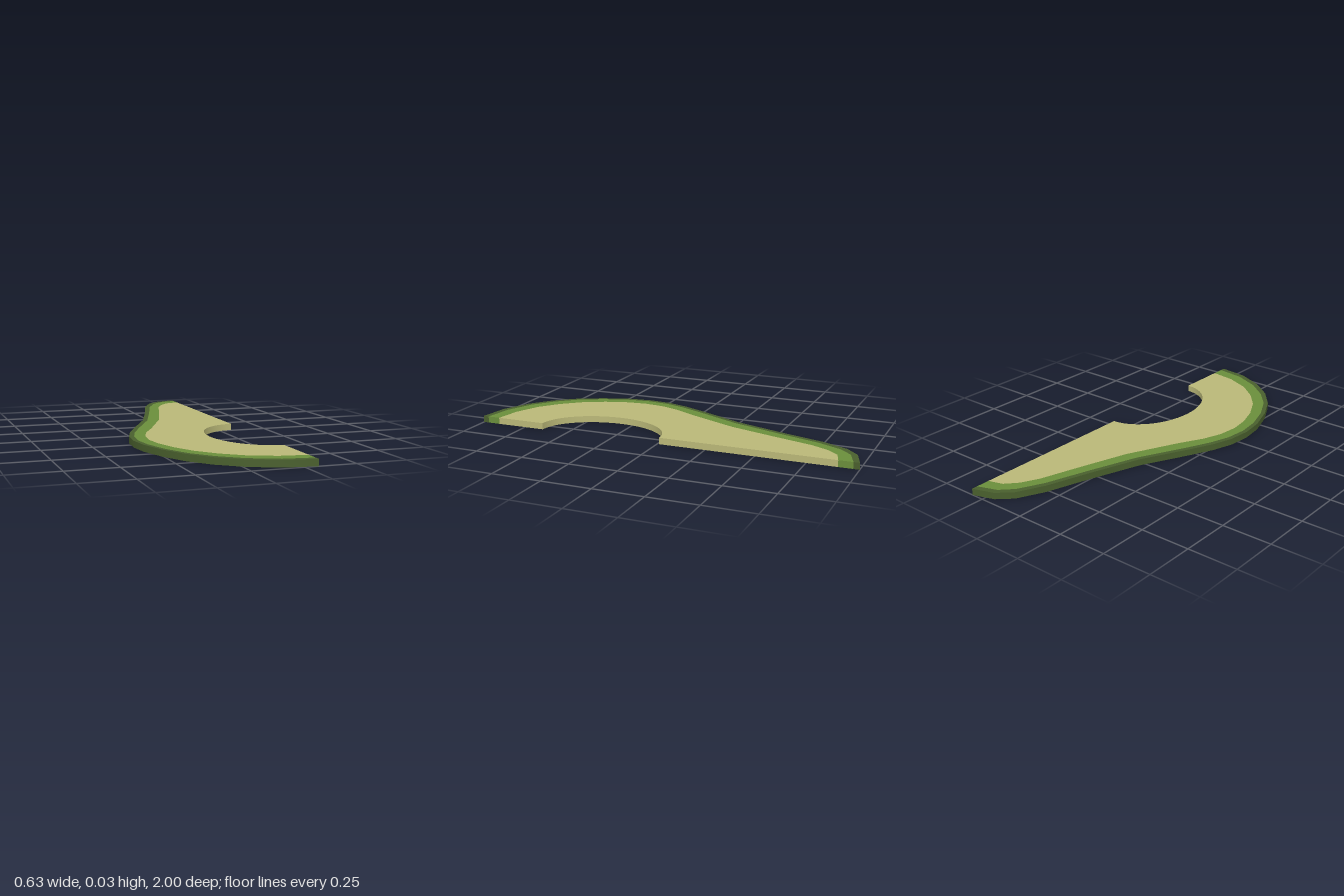
import * as THREE from 'three';
import { toCreasedNormals } from 'three/addons/utils/BufferGeometryUtils.js';

const THICKNESS = 0.033;
const CUT_X = 0.315; // plane of the straight cut

// Contours run from the back tip to the front end, as [x, z]
const skinEdge = [
  [CUT_X, -1], [0.205, -0.965], [0.135, -0.9], [0.07, -0.765], [0, -0.54], [-0.09, -0.28],
  [-0.21, -0.04], [-0.27, 0.09], [-0.305, 0.2], [-0.316, 0.32], [-0.302, 0.44], [-0.255, 0.585],
  [-0.19, 0.715], [-0.1, 0.825], [0.015, 0.915], [0.16, 0.98], [CUT_X, 1],
];
const rindEdge = [
  [CUT_X, -0.97], [0.215, -0.935], [0.155, -0.875], [0.093, -0.75], [0.022, -0.53], [-0.068, -0.27],
  [-0.188, -0.03], [-0.247, 0.1], [-0.281, 0.205], [-0.293, 0.32], [-0.28, 0.435], [-0.236, 0.575],
  [-0.172, 0.7], [-0.085, 0.802], [0.025, 0.888], [0.165, 0.95], [CUT_X, 0.97],
];
const fleshEdge = [
  [CUT_X, -0.9], [0.24, -0.878], [0.187, -0.82], [0.142, -0.73], [0.08, -0.525], [0, -0.275],
  [-0.125, -0.01], [-0.19, 0.11], [-0.226, 0.21], [-0.239, 0.32], [-0.226, 0.425], [-0.19, 0.54],
  [-0.13, 0.655], [-0.05, 0.75], [0.05, 0.83], [0.18, 0.885], [CUT_X, 0.905],
];

const toPoints = (edge) => edge.map(([x, z]) => new THREE.Vector2(x, -z));

// Half-ellipse left by the removed stone
function stoneEdge(segments = 28) {
  const points = [];
  for (let i = 0; i <= segments; i++) {
    const a = (i / segments) * Math.PI;
    points.push([CUT_X - 0.246 * Math.sin(a), 0.317 - 0.327 * Math.cos(a)]);
  }
  return points;
}

// Flat slab filling the space between two contours
function makeLayer(name, outer, inner, material) {
  const shape = new THREE.Shape([...toPoints(outer), ...toPoints(inner).reverse()]);
  const slab = new THREE.ExtrudeGeometry(shape, { depth: THICKNESS, bevelEnabled: false });
  slab.rotateX(-Math.PI / 2);
  const mesh = new THREE.Mesh(toCreasedNormals(slab, 0.6), material);
  mesh.name = name;
  return mesh;
}

export function createModel() {
  const mat = (name, color) => new THREE.MeshStandardMaterial({ name, color });
  const skin = mat('dark green skin', 0x495f2d);
  const rind = mat('green rind', 0x6a8e3b);
  const flesh = mat('pale flesh', 0xbab878);

  const group = new THREE.Group();
  group.name = 'fruitSlice';
  group.add(
    makeLayer('skin', skinEdge, rindEdge, skin),
    makeLayer('rind', rindEdge, fleshEdge, rind),
    makeLayer('flesh', fleshEdge, stoneEdge(), flesh),
  );
  return group;
}
